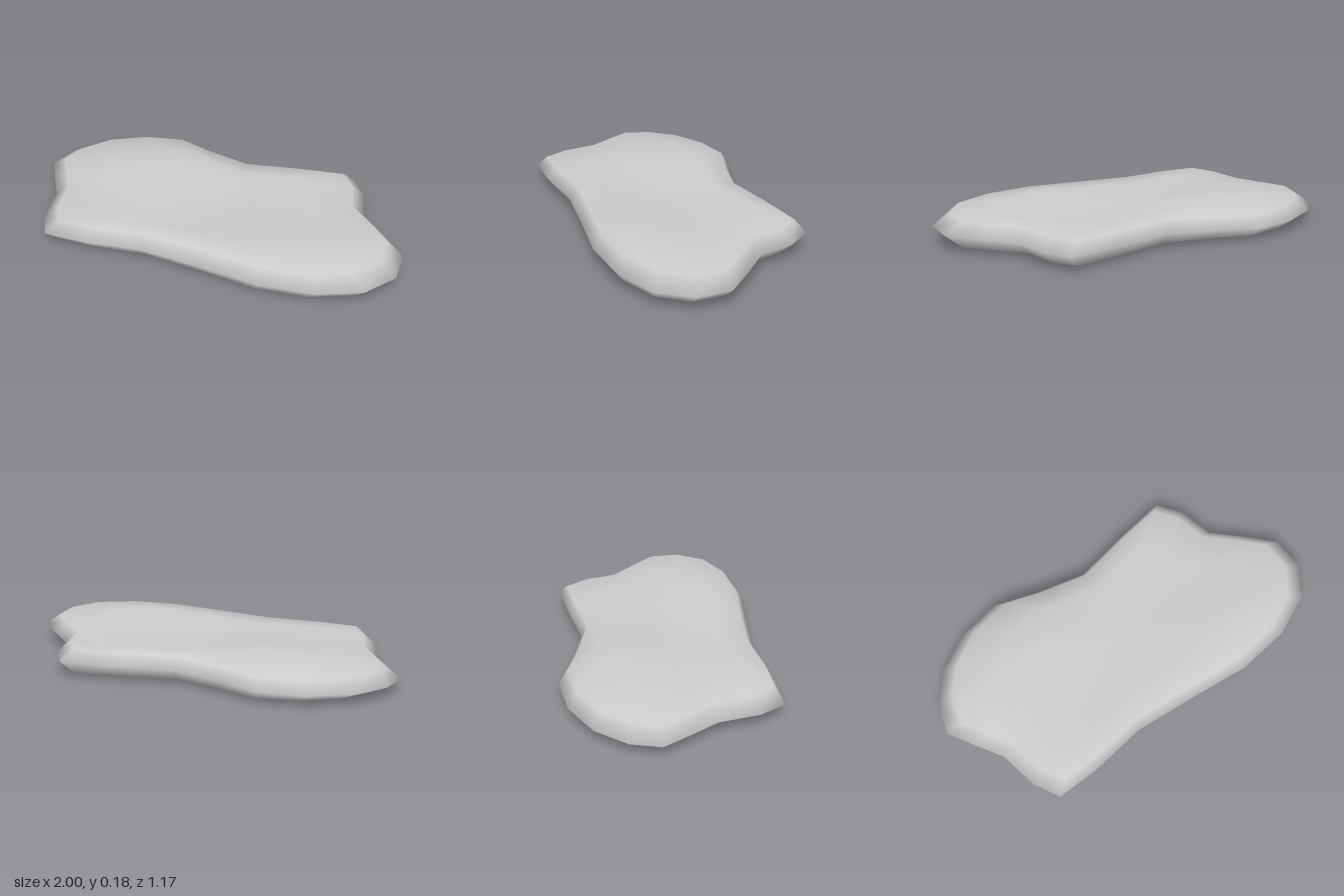
import * as THREE from 'three';

// Slab outline seen from above as [x, z], running left, back, right, front
const outline = [
  [-1, -0.23], [-0.94, -0.37], [-0.8, -0.5], [-0.59, -0.58], [-0.36, -0.59], [-0.15, -0.49],
  [0.1, -0.395], [0.42, -0.415], [0.68, -0.42], [0.75, -0.29], [0.77, -0.1], [0.89, 0.05],
  [1, 0.2], [0.98, 0.375], [0.85, 0.515], [0.63, 0.58], [0.35, 0.575], [0.05, 0.505],
  [-0.28, 0.435], [-0.58, 0.435], [-0.8, 0.41], [-0.855, 0.27], [-0.87, 0.06], [-0.94, -0.09],
];

const mound = (x, z, cx, cz, wx, wz) => Math.exp(-((x - cx) ** 2) / wx - ((z - cz) ** 2) / wz);

// Upper surface: two gentle mounds with a shallow valley between them
const topHeight = (x, z) =>
  0.145 + 0.033 * mound(x, z, -0.36, -0.26, 0.1, 0.05) + 0.036 * mound(x, z, 0.5, 0.4, 0.2, 0.06);

// Cross-section rings from the underside, round the rim, to the top
const rings = [
  { scale: 0.66, height: () => 0 },
  { scale: 0.915, height: () => 0.023 },
  { scale: 1, height: (x, z) => 0.08 + 0.015 * x + 0.005 * z },
  { scale: 0.915, height: (x, z) => 0.148 + 0.015 * x + 0.02 * z - 0.012 * x * x },
  { scale: 0.66, height: topHeight },
  { scale: 0.44, height: topHeight },
  { scale: 0.22, height: topHeight },
];

function slabGeometry() {
  const n = outline.length;
  const positions = [];
  const index = [];
  for (const { scale, height } of rings) {
    for (const [px, pz] of outline) {
      const x = px * scale, z = pz * scale;
      positions.push(x, height(x, z), z);
    }
  }
  // Centre points closing the underside and the top
  const bottom = rings.length * n;
  const top = bottom + 1;
  positions.push(0, 0, 0, 0, topHeight(0, 0), 0);

  const last = (rings.length - 1) * n;
  for (let j = 0; j < n; j++) {
    const k = (j + 1) % n;
    for (let r = 0; r < rings.length - 1; r++) {
      const a = r * n + j, b = r * n + k;
      index.push(a, a + n, b, b, a + n, b + n);
    }
    index.push(bottom, j, k, top, last + k, last + j);
  }

  const geometry = new THREE.BufferGeometry();
  geometry.setAttribute('position', new THREE.Float32BufferAttribute(positions, 3));
  geometry.setIndex(index);
  geometry.computeVertexNormals();
  return geometry;
}

export function createModel() {
  const group = new THREE.Group();
  group.name = 'flatStone';
  const slab = new THREE.Mesh(slabGeometry(), new THREE.MeshStandardMaterial({ color: 0xcccccc }));
  slab.name = 'stoneSlab';
  group.add(slab);
  return group;
}
